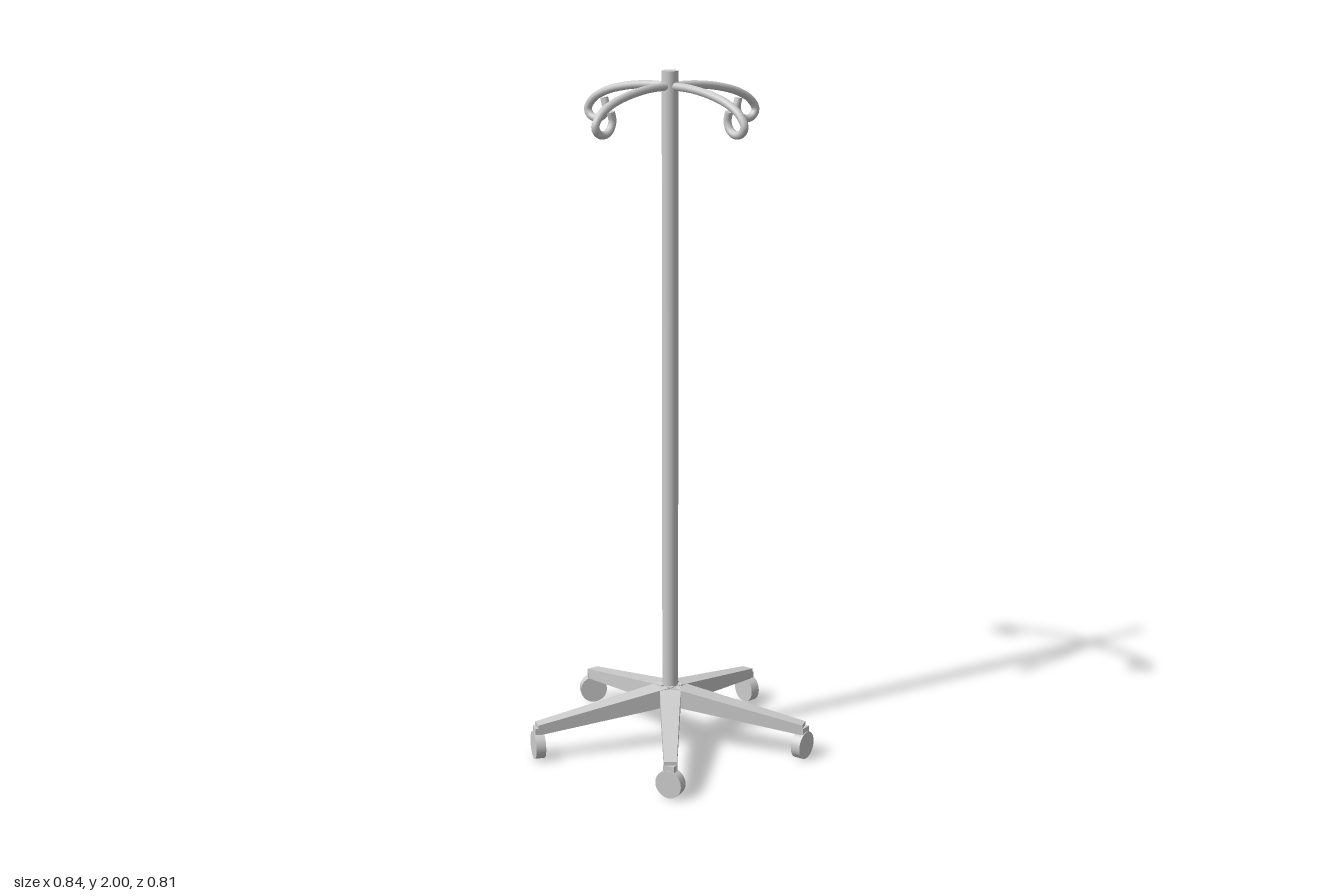
import * as THREE from 'three';

const CX = -0.006, CZ = -0.042; // pole axis
const rad = THREE.MathUtils.degToRad;

export function createModel() {
  const model = new THREE.Group();
  const smooth = new THREE.MeshStandardMaterial({ color: 0xcccccc });
  const flat = new THREE.MeshStandardMaterial({ color: 0xcccccc, flatShading: true });

  const add = (parent, name, geometry, material, x = 0, y = 0, z = 0) => {
    const mesh = new THREE.Mesh(geometry, material);
    mesh.name = name;
    mesh.position.set(x, y, z);
    parent.add(mesh);
    return mesh;
  };

  // Group on the pole axis whose local +x points at the given angle from +x towards +z
  const spoke = (name, degrees) => {
    const group = new THREE.Group();
    group.name = name;
    group.position.set(CX, 0, CZ);
    group.rotation.y = -rad(degrees);
    model.add(group);
    return group;
  };

  // Pole
  add(model, 'pole', new THREE.CylinderGeometry(0.0235, 0.0235, 1.86, 32), smooth, CX, 1.07, CZ);

  // Tapered leg: a box narrowed, thinned and lowered towards its outer end
  const legGeometry = new THREE.BoxGeometry(1, 1, 1);
  const p = legGeometry.attributes.position;
  for (let i = 0; i < p.count; i++) {
    const outer = p.getX(i) > 0;
    const upper = p.getY(i) > 0;
    const y = outer ? (upper ? 0.107 : 0.076) : (upper ? 0.184 : 0.125);
    p.setXYZ(i, outer ? 0.412 : 0, y, Math.sign(p.getZ(i)) * (outer ? 0.018 : 0.032));
  }

  // Five legs with casters, each caster swivelled its own way
  const wheelGeometry = new THREE.CylinderGeometry(0.041, 0.041, 0.029, 24).rotateX(Math.PI / 2);
  const stemGeometry = new THREE.BoxGeometry(0.034, 0.045, 0.024);
  const swivels = [124, 28, 74, -10, 52]; // heading of each wheel
  swivels.forEach((swivel, i) => {
    const angle = 18 + i * 72;
    add(spoke('leg', angle), 'legBeam', legGeometry, flat);
    const caster = new THREE.Group();
    caster.name = 'caster';
    const a = rad(angle);
    caster.position.set(CX + 0.408 * Math.cos(a), 0, CZ + 0.408 * Math.sin(a));
    caster.rotation.y = -rad(swivel);
    add(caster, 'casterWheel', wheelGeometry, smooth, 0, 0.041, 0);
    add(caster, 'casterStem', stemGeometry, flat, 0, 0.074, 0);
    model.add(caster);
  });

  // Four curled hooks near the top of the pole
  const hookPath = new THREE.CatmullRomCurve3([
    [0, 1.957], [0.08, 1.956], [0.16, 1.946], [0.23, 1.927], [0.275, 1.902], [0.295, 1.872],
    [0.285, 1.853], [0.262, 1.846], [0.24, 1.856], [0.229, 1.88], [0.235, 1.908],
  ].map(([x, y]) => new THREE.Vector3(x, y, 0)));
  const hookGeometry = new THREE.TubeGeometry(hookPath, 60, 0.0115, 12);

  // Flat cap closing the hook tip
  const capGeometry = new THREE.CircleGeometry(0.0115, 12);
  const tip = hookPath.getPointAt(1), heading = hookPath.getTangentAt(1);
  const turn = new THREE.Quaternion().setFromUnitVectors(new THREE.Vector3(0, 0, 1), heading);
  capGeometry.applyQuaternion(turn).translate(tip.x, tip.y, tip.z);

  for (const angle of [47, 133.5, 217, 326]) {
    const hook = spoke('hook', angle);
    add(hook, 'hookRod', hookGeometry, smooth);
    add(hook, 'hookTip', capGeometry, smooth);
  }

  return model;
}
